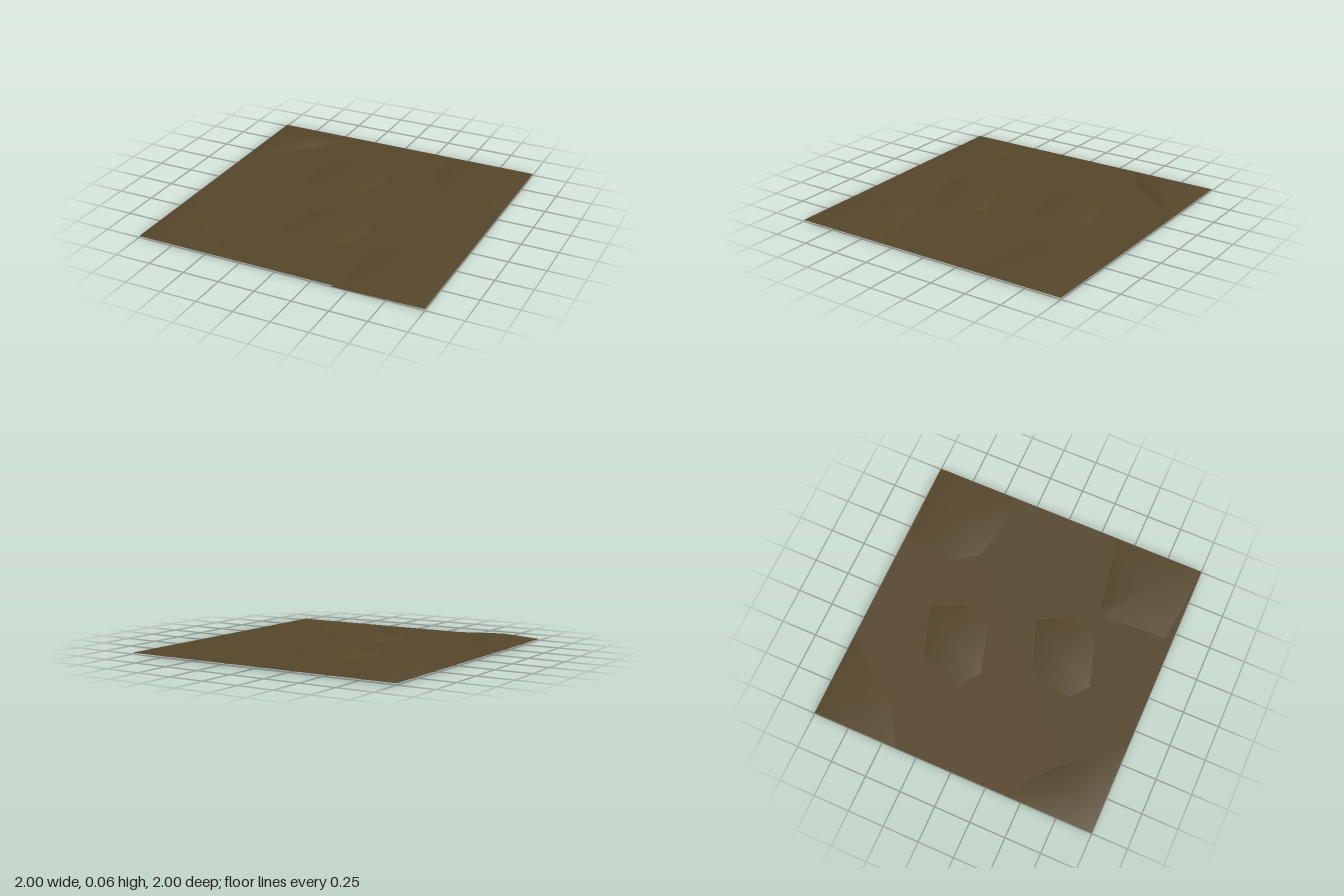
import * as THREE from 'three';

const GROUND_Y = 0.01;
const PEAK_Y = 0.062;

// Low mound: a smooth fan from a peak down to an outline of [x, z] or [x, z, y] points,
// listed clockwise as seen from above
function mound(name, peak, outline, material) {
  const positions = [peak[0], PEAK_Y, peak[1]];
  const indices = [];
  outline.forEach(([x, z, y = GROUND_Y], i) => {
    positions.push(x, y, z);
    indices.push(0, 1 + (i + 1) % outline.length, 1 + i);
  });
  const geometry = new THREE.BufferGeometry();
  geometry.setAttribute('position', new THREE.Float32BufferAttribute(positions, 3));
  geometry.setIndex(indices);
  geometry.computeVertexNormals();
  const mesh = new THREE.Mesh(geometry, material);
  mesh.name = name;
  return mesh;
}

export function createModel() {
  const group = new THREE.Group();
  group.name = 'groundTile';

  const earth = new THREE.MeshStandardMaterial({ color: 0x57482c, side: THREE.DoubleSide });
  earth.name = 'earth brown';

  // Flat square of ground
  const ground = new THREE.Mesh(new THREE.PlaneGeometry(2, 2).rotateX(-Math.PI / 2), earth);
  ground.name = 'ground';
  ground.position.y = GROUND_Y;
  group.add(ground);

  // Two matching mounds in the middle
  const outline = [[-0.42, -0.2], [-0.35, -0.5], [0, -0.62], [0.11, -0.41], [0.04, -0.2], [-0.3, -0.1]];
  const backMound = mound('backMound', [-0.17, -0.37], outline, earth);
  const frontMound = backMound.clone();
  frontMound.name = 'frontMound';
  frontMound.position.set(0.21, 0, 0.71);
  group.add(backMound, frontMound);

  // A mound in each corner
  group.add(
    mound('backLeftCornerMound', [0.69, -0.69],
      [[0.37, -0.64], [0.39, -0.98], [1, -1], [0.99, -0.37], [0.5, -0.46]], earth),
    mound('frontLeftCornerMound', [0.69, 0.68],
      [[0.39, 1, 0], [0.42, 0.52], [0.48, 0.46], [0.98, 0.37], [1, 1]], earth),
    mound('frontRightCornerMound', [-0.82, 0.78],
      [[-1, 0.38], [-0.7, 0.61], [-0.38, 1], [-1, 1]], earth),
    mound('backRightCornerMound', [-0.79, -0.7],
      [[-1, -1], [-0.4, -1], [-0.58, -0.77], [-0.78, -0.52], [-1, -0.4]], earth),
  );

  return group;
}
